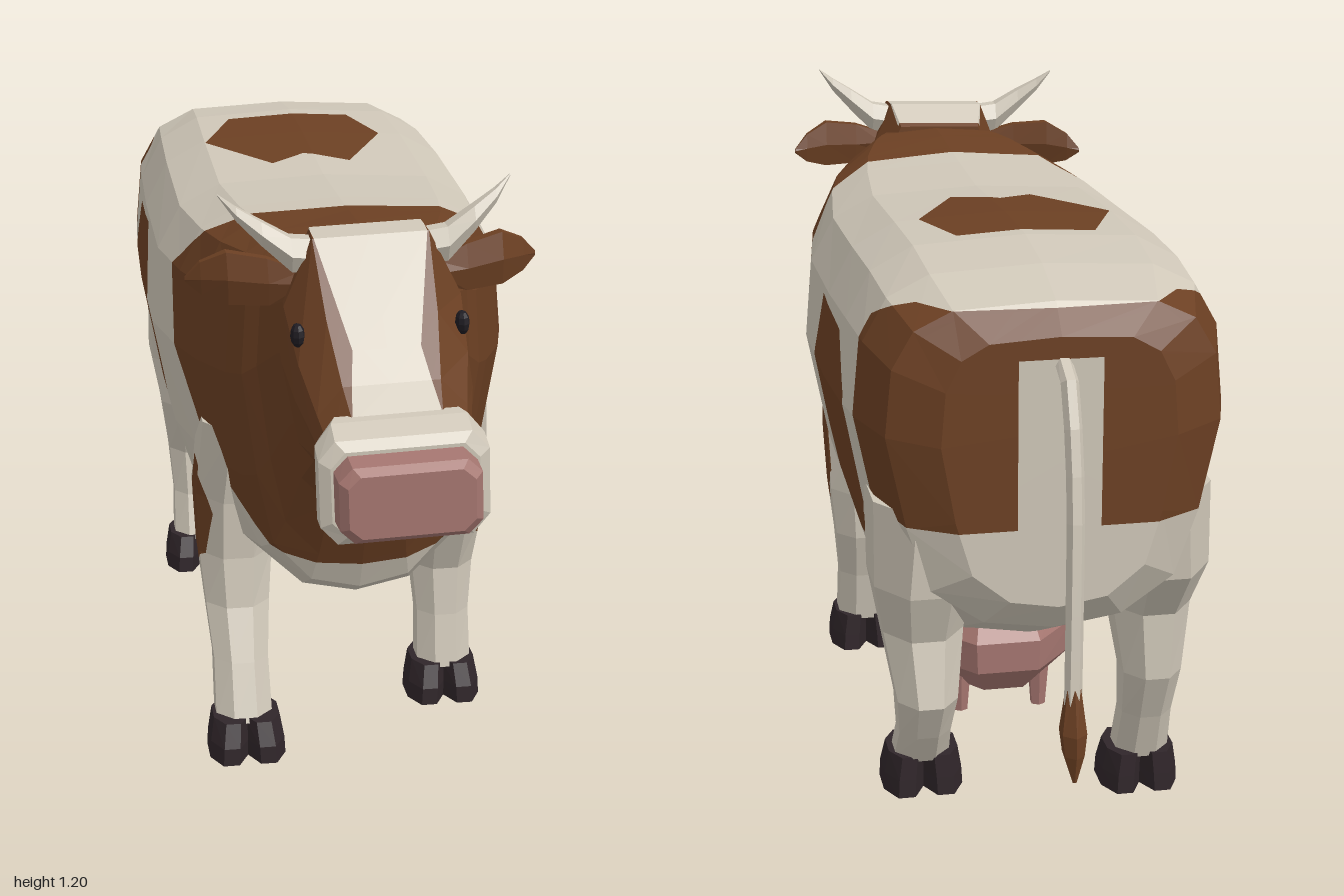
import * as THREE from 'three';

const mat = (name, color) => {
  const m = new THREE.MeshStandardMaterial({ color, flatShading: true });
  m.name = name;
  return m;
};
const V = (x, y, z) => new THREE.Vector3(x, y, z);

// Loft closed rings into a capped list of triangles, facing outwards
function loft(rings) {
  const tris = [], n = rings[0].length;
  for (let i = 0; i < rings.length - 1; i++) {
    for (let j = 0; j < n; j++) {
      const k = (j + 1) % n, a = rings[i], b = rings[i + 1];
      tris.push([a[j], a[k], b[k]], [a[j], b[k], b[j]]);
    }
  }
  const cap = (ring, flip) => {
    const c = ring.reduce((s, p) => s.add(p), V(0, 0, 0)).divideScalar(n);
    ring.forEach((p, j) => {
      const q = ring[(j + 1) % n];
      tris.push(flip ? [c, q, p] : [c, p, q]);
    });
  };
  cap(rings[0], true);
  cap(rings[rings.length - 1], false);
  const volume = tris.reduce((s, [a, b, c]) => s + a.dot(b.clone().cross(c)), 0);
  return volume < 0 ? tris.map(([a, b, c]) => [a, c, b]) : tris;
}

// Ring across z from a half profile of [width, height] fractions
const profileRing = (half, [z, w, top, bottom]) => {
  const right = half.map(([fx, fy]) => V(fx * w, bottom + fy * (top - bottom), z));
  const left = right.slice(1, -1).reverse().map(p => V(-p.x, p.y, z));
  return [...right, ...left];
};
const profileLoft = (half, sections) => loft(sections.map(s => profileRing(half, s)));

// Elliptical ring: lying flat (axis y) or upright (axis x)
const oval = (n, x, y, z, r1, r2, axis = 'y') => Array.from({ length: n }, (_, i) => {
  const t = (i + 0.5) / n * Math.PI * 2, c = Math.cos(t) * r1, s = Math.sin(t) * r2;
  return axis === 'y' ? V(x + c, y, z + s) : V(x, y + c, z + s);
});
const ovalLoft = (n, sections, axis) => loft(sections.map(s => oval(n, ...s, axis)));

// Convex prism as edge tests on two axes
function prism(a, b, pts) {
  const c = [0, 1].map(k => pts.reduce((s, p) => s + p[k], 0) / pts.length);
  return pts.map((p, i) => {
    const q = pts[(i + 1) % pts.length];
    const f = v => (q[0] - p[0]) * (v[b] - p[1]) - (q[1] - p[1]) * (v[a] - p[0]);
    const s = Math.sign(f({ [a]: c[0], [b]: c[1] }));
    return v => s * f(v);
  });
}
function clip(poly, f) {
  const out = [];
  poly.forEach((p, i) => {
    const q = poly[(i + 1) % poly.length], fp = f(p), fq = f(q);
    if (fp >= 0) out.push(p);
    if (fp * fq < 0) out.push(p.clone().lerp(q, fp / (fp - fq)));
  });
  return out;
}
// Move the part of "from" inside the tests to "to"; returns what is left
function paint(from, to, tests) {
  const rest = [];
  for (let p of from) {
    for (const f of tests) {
      const outside = clip(p, v => -f(v));
      if (outside.length > 2) rest.push(outside);
      p = clip(p, f);
      if (p.length < 3) break;
    }
    if (p.length > 2) to.push(p);
  }
  return rest;
}

function addMesh(parent, name, polys, material) {
  const pos = [];
  for (const p of polys)
    for (let i = 1; i < p.length - 1; i++)
      for (const v of [p[0], p[i], p[i + 1]]) pos.push(v.x, v.y, v.z);
  const g = new THREE.BufferGeometry();
  g.setAttribute('position', new THREE.Float32BufferAttribute(pos, 3));
  g.computeVertexNormals();
  const m = new THREE.Mesh(g, material);
  m.name = name;
  parent.add(m);
  return m;
}

export function createModel() {
  const white = mat('coat white', 0xcfc7b8), brown = mat('coat brown', 0x6c4023);
  const pink = mat('skin pink', 0xa57670), dark = mat('hoof dark', 0x30262a), eyeMat = mat('eye black', 0x1f1c22);
  const cow = new THREE.Group();
  cow.name = 'cow';

  // Body and neck: z, half width, top, bottom
  const barrel = [[0, 0], [0.42, 0.03], [0.74, 0.14], [0.88, 0.34], [1, 0.62], [0.96, 0.82], [0.83, 0.93], [0.6, 0.985], [0, 1]];
  let coat = profileLoft(barrel, [
    [-0.82, 0.21, 0.99, 0.49], [-0.77, 0.3, 1.04, 0.43], [-0.65, 0.335, 1.075, 0.37], [-0.5, 0.345, 1.09, 0.3],
    [-0.3, 0.352, 1.085, 0.275], [0, 0.352, 1.065, 0.29], [0.2, 0.325, 1.07, 0.32], [0.32, 0.295, 1.075, 0.33],
    [0.42, 0.25, 1.08, 0.335], [0.47, 0.225, 1.08, 0.365], [0.5, 0.2, 1.08, 0.43], [0.56, 0.17, 1.07, 0.56],
    [0.63, 0.13, 1.05, 0.66]]);
  const patches = [];
  const above = v => v.y - 0.9;
  // Shoulders, flanks, rump and back patches
  for (const region of [
    prism('z', 'y', [[0.13, 0.93], [0.28, 0.6], [0.5, 0.42], [0.8, 0.42], [0.8, 1.2], [0.42, 1.2]]),
    prism('z', 'y', [[-0.225, 0.92], [-0.44, 0.91], [-0.52, 0.81], [-0.52, 0.6], [-0.42, 0.465], [-0.245, 0.46], [-0.145, 0.615], [-0.15, 0.785]]),
    [...prism('z', 'y', [[-0.62, 0.64], [-0.9, 0.64], [-0.9, 1.03], [-0.7, 1.03], [-0.62, 0.99]]), v => Math.abs(v.x) > 1 ? -1 : 1],
    [above, ...prism('x', 'z', [[-0.02, -0.46], [0.12, -0.46], [0.165, -0.3], [0.07, -0.1], [-0.02, -0.15]])],
    [above, ...prism('x', 'z', [[-0.02, -0.46], [-0.14, -0.46], [-0.21, -0.28], [-0.09, -0.1], [-0.02, -0.15]])],
  ]) coat = paint(coat, patches, region);
  // White strip below the tail
  const brownBody = paint(patches, coat, [v => -0.78 - v.z, ...prism('x', 'y', [[-0.075, 0.5], [0.075, 0.5], [0.075, 0.95], [-0.075, 0.95]])]);
  addMesh(cow, 'bodyCoat', coat, white);
  addMesh(cow, 'bodyPatches', brownBody, brown);

  // Head, rolled slightly to one side
  const head = new THREE.Group();
  head.name = 'head';
  head.rotation.z = 0.035;
  head.position.x = 0.026;
  cow.add(head);
  const skull = [[0, 0], [0.5, 0], [0.85, 0.18], [1, 0.52], [0.95, 0.74], [0.62, 1], [0, 1]];
  const blaze = [];
  let face = profileLoft(skull, [
    [0.52, 0.14, 1.08, 0.66], [0.58, 0.162, 1.12, 0.635], [0.64, 0.168, 1.115, 0.655], [0.74, 0.158, 0.995, 0.7],
    [0.82, 0.138, 0.9, 0.71], [0.88, 0.125, 0.85, 0.69]]);
  face = paint(face, blaze, [v => v.z - 0.53, ...prism('x', 'y', [[-0.06, 0.95], [0.06, 0.95], [0.11, 1.15], [-0.11, 1.15]])]);
  face = paint(face, blaze, [v => v.z - 0.7, ...prism('x', 'y', [[-0.085, 0.82], [0.085, 0.82], [0.06, 0.95], [-0.06, 0.95]])]);
  addMesh(head, 'face', face, brown);
  addMesh(head, 'blaze', blaze, white);
  const chamfer = [[0, 0], [0.8, 0], [1, 0.18], [1, 0.82], [0.8, 1], [0, 1]];
  addMesh(head, 'muzzle', profileLoft(chamfer, [
    [0.86, 0.135, 0.862, 0.665], [0.885, 0.147, 0.86, 0.652], [0.925, 0.147, 0.842, 0.655], [0.937, 0.128, 0.825, 0.672]]), white);
  addMesh(head, 'nose', profileLoft(chamfer, [
    [0.92, 0.124, 0.82, 0.677], [0.985, 0.122, 0.815, 0.68], [1, 0.108, 0.803, 0.692]]), pink);

  for (const s of [1, -1]) {
    const side = s > 0 ? 'left' : 'right';
    addMesh(head, side + 'Horn', ovalLoft(6, [
      [s * 0.06, 1.075, 0.61, 0.035, 0.032], [s * 0.14, 1.085, 0.615, 0.036, 0.032], [s * 0.19, 1.125, 0.612, 0.026, 0.024],
      [s * 0.232, 1.16, 0.603, 0.015, 0.014], [s * 0.262, 1.193, 0.592, 0.002, 0.002]], 'x'), white);
    addMesh(head, side + 'Ear', ovalLoft(6, [
      [s * 0.12, 1.03, 0.61, 0.025, 0.02], [s * 0.18, 1.03, 0.59, 0.05, 0.022], [s * 0.25, 1.035, 0.565, 0.056, 0.024],
      [s * 0.295, 1.03, 0.54, 0.035, 0.014], [s * 0.322, 1.025, 0.525, 0.005, 0.004]], 'x'), brown);
    const eye = new THREE.Mesh(new THREE.SphereGeometry(0.022, 8, 6), eyeMat);
    eye.name = side + 'Eye';
    eye.scale.set(0.6, 1, 0.9);
    eye.position.set(s * 0.146, 0.965, 0.715);
    head.add(eye);
  }

  // Legs: x, y, z, radius x, radius z down to the hoof
  const leg = (name, s, hoofZ, lift, sections, spotZ) => {
    const g = new THREE.Group();
    g.name = name;
    cow.add(g);
    let skin = ovalLoft(8, sections.map(([x, ...r]) => [s * x, ...r]));
    if (spotZ !== undefined) {
      const spot = [];
      const outline = [[-0.04, 0.56], [0.03, 0.56], [0.07, 0.47], [0.05, 0.38], [-0.02, 0.34], [-0.065, 0.42]];
      skin = paint(skin, spot, [v => s * v.x - 0.235, ...prism('z', 'y', outline.map(([z, y]) => [z + spotZ, y]))]);
      addMesh(g, name + 'Spot', spot, brown);
    }
    addMesh(g, name + 'Limb', skin, white);
    for (const t of [-1, 1]) {
      addMesh(g, name + 'Hoof', ovalLoft(8, [
        [s * 0.217 + t * 0.037, lift, hoofZ, 0.041, 0.08], [s * 0.217 + t * 0.035, lift + 0.035, hoofZ, 0.041, 0.078],
        [s * 0.217 + t * 0.03, lift + 0.08, hoofZ - 0.008, 0.038, 0.066]]), dark);
    }
  };
  leg('frontLeftLeg', 1, 0.205, 0, [
    [0.2, 0.66, 0.24, 0.09, 0.12], [0.215, 0.5, 0.2, 0.088, 0.11], [0.22, 0.38, 0.175, 0.078, 0.1],
    [0.22, 0.28, 0.155, 0.068, 0.072], [0.22, 0.18, 0.175, 0.058, 0.06], [0.22, 0.07, 0.195, 0.06, 0.06]], 0.205);
  leg('frontRightLeg', -1, 0.405, 0, [
    [0.2, 0.66, 0.26, 0.09, 0.13], [0.215, 0.5, 0.235, 0.088, 0.12], [0.22, 0.38, 0.25, 0.078, 0.095],
    [0.22, 0.28, 0.285, 0.068, 0.072], [0.22, 0.18, 0.34, 0.058, 0.06], [0.22, 0.07, 0.385, 0.06, 0.06]], 0.25);
  leg('hindLeftLeg', 1, -0.605, 0.062, [
    [0.2, 0.66, -0.62, 0.12, 0.17], [0.22, 0.5, -0.64, 0.1, 0.14], [0.22, 0.4, -0.63, 0.08, 0.11],
    [0.22, 0.28, -0.69, 0.06, 0.078], [0.22, 0.2, -0.66, 0.052, 0.06], [0.22, 0.13, -0.615, 0.056, 0.058]]);
  leg('hindRightLeg', -1, -0.548, 0, [
    [0.2, 0.66, -0.62, 0.12, 0.17], [0.22, 0.5, -0.63, 0.1, 0.14], [0.22, 0.4, -0.59, 0.08, 0.105],
    [0.22, 0.27, -0.62, 0.06, 0.075], [0.22, 0.17, -0.59, 0.052, 0.058], [0.22, 0.07, -0.555, 0.056, 0.058]]);

  // Udder and teats
  addMesh(cow, 'udder', ovalLoft(8, [
    [0.04, 0.36, -0.4, 0.13, 0.14], [0.04, 0.31, -0.4, 0.16, 0.18], [0.04, 0.25, -0.4, 0.155, 0.18],
    [0.04, 0.192, -0.4, 0.1, 0.125]]), pink);
  for (const x of [-0.036, 0.118]) for (const z of [-0.325, -0.475])
    addMesh(cow, 'teat', ovalLoft(6, [[x, 0.25, z, 0.024, 0.022], [x, 0.138, z, 0.015, 0.014]]), pink);

  // Tail and tuft
  const path = new THREE.CatmullRomCurve3([V(-0.005, 0.95, -0.79), V(-0.005, 0.935, -0.85), V(-0.005, 0.76, -0.915), V(0, 0.55, -0.945), V(0.005, 0.37, -0.965)]);
  const tail = new THREE.Mesh(new THREE.TubeGeometry(path, 8, 0.016, 6), white);
  tail.name = 'tail';
  cow.add(tail);
  addMesh(cow, 'tailTuft', ovalLoft(6, [
    [0.004, 0.4, -0.962, 0.014, 0.014], [0.005, 0.32, -0.968, 0.025, 0.033], [0.005, 0.28, -0.972, 0.02, 0.028],
    [0.005, 0.23, -0.985, 0.004, 0.004]]), brown);
  return cow;
}
